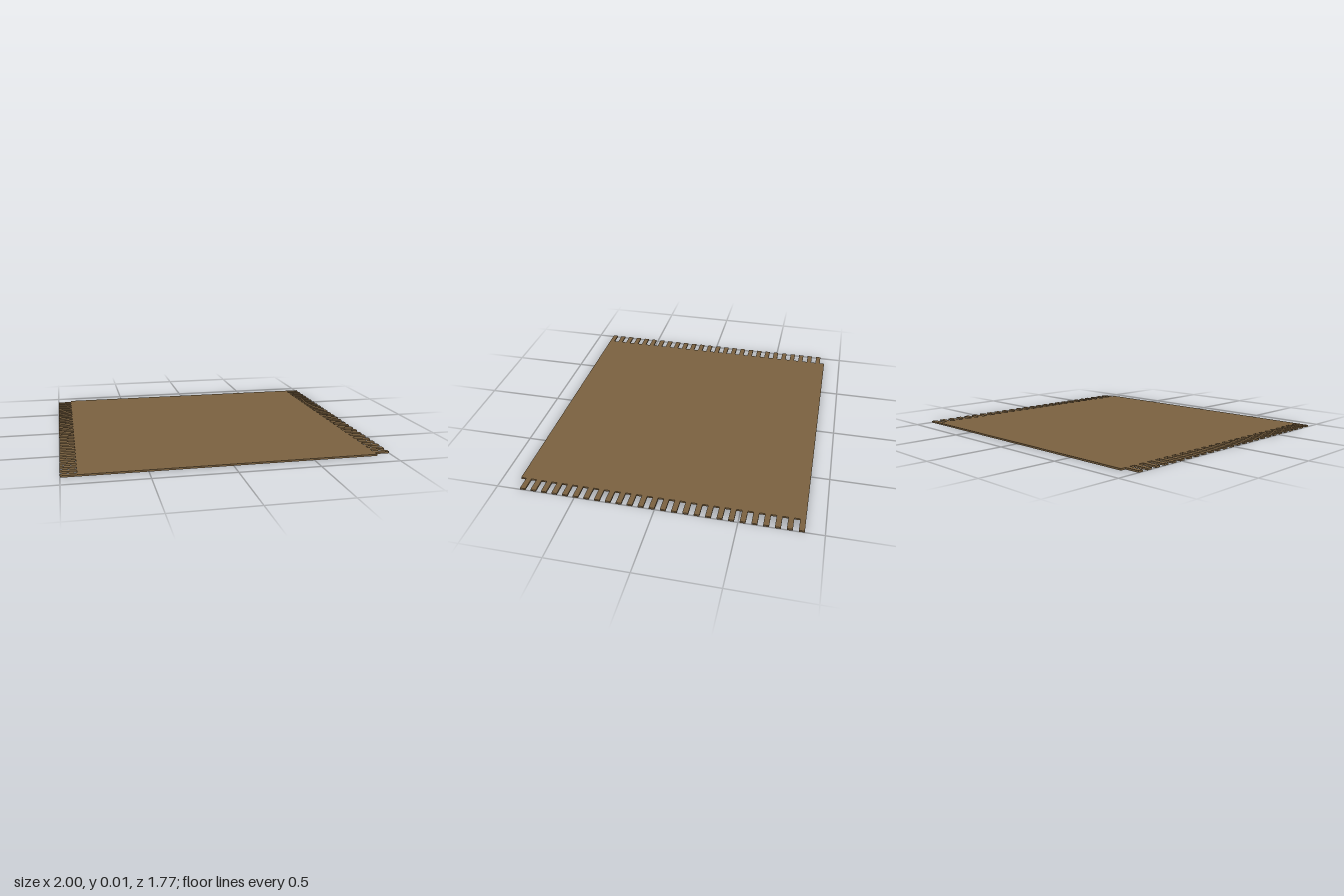
import * as THREE from 'three';
import { mergeGeometries } from 'three/addons/utils/BufferGeometryUtils.js';

export function createModel() {
  const model = new THREE.Group();
  model.name = 'brickPaving';

  const rows = 52, bricksPerRow = 10;
  const length = 2 / (bricksPerRow + 0.5); // staggered rows overhang by half a brick
  const depth = 0.034, height = 0.011;
  const material = new THREE.MeshStandardMaterial({ color: 0x7a6140 });

  // One course of bricks laid end to end along x
  const bricks = [];
  for (let i = 0; i < bricksPerRow; i++) {
    const brick = new THREE.BoxGeometry(length, height, depth);
    brick.translate((i - (bricksPerRow - 1) / 2) * length, height / 2, 0);
    bricks.push(brick);
  }
  const course = mergeGeometries(bricks);

  // Courses from back to front, shifted alternately left and right
  for (let r = 0; r < rows; r++) {
    const row = new THREE.Mesh(course, material);
    row.name = `brickCourse${r + 1}`;
    row.position.set((r % 2 === 0 ? 1 : -1) * length / 4, 0, (r - (rows - 1) / 2) * depth);
    model.add(row);
  }
  return model;
}
